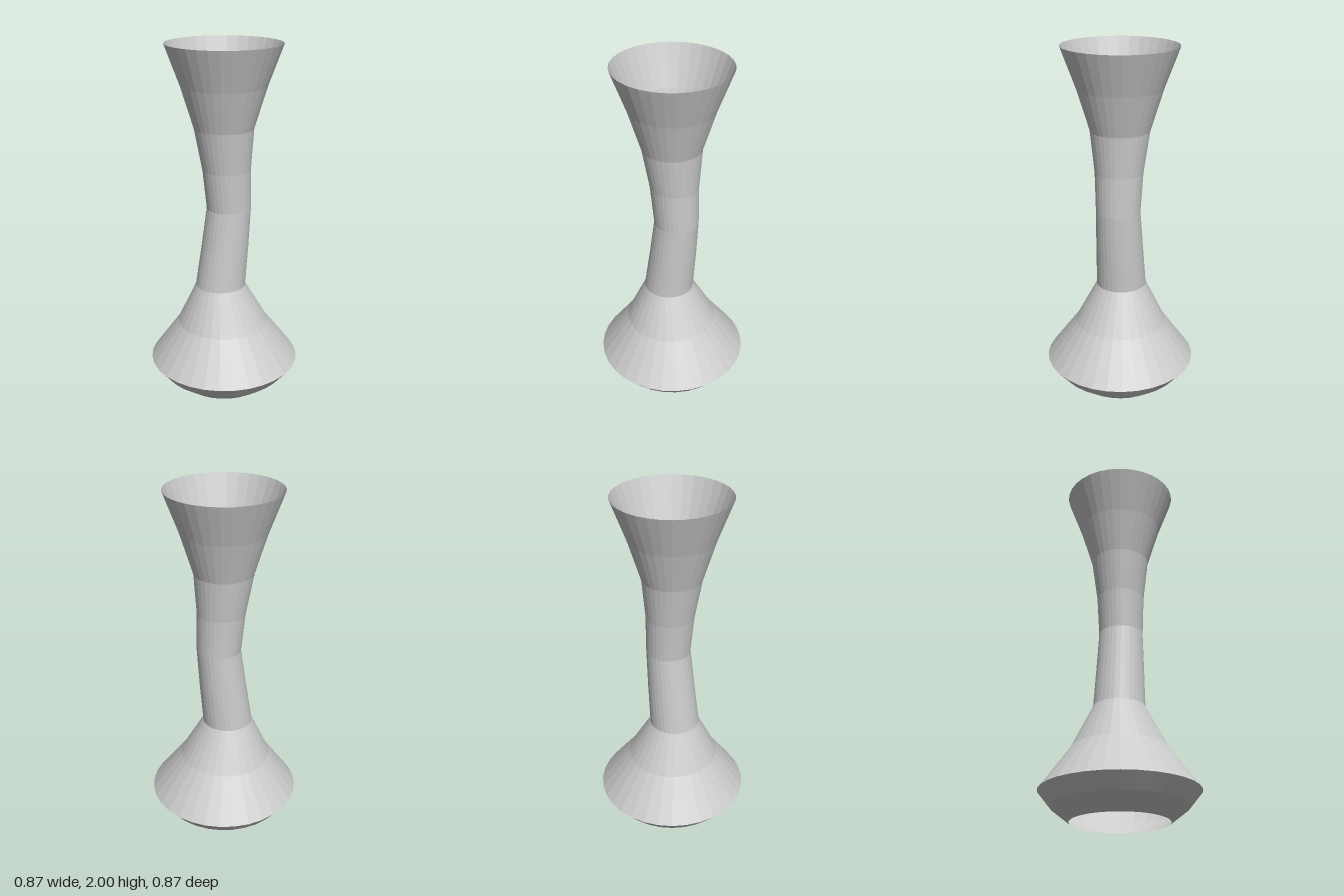
import * as THREE from 'three';

// Cross-sections from bottom to top: height, radius, sideways shift
const RINGS = [
  [0, 0.265, 0], [0.08, 0.368, 0], [0.16, 0.433, 0],
  [0.39, 0.264, -0.006], [0.622, 0.143, -0.021], [0.855, 0.134, 0.006],
  [1.085, 0.125, 0.029], [1.31, 0.135, 0.015], [1.545, 0.165, 0],
  [1.775, 0.235, 0], [2, 0.318, 0],
];
const SIDES = 32;

export function createModel() {
  const group = new THREE.Group();
  group.name = 'vase';

  // Open-ended thin wall, turned from the profile
  const profile = RINGS.map(([y, r]) => new THREE.Vector2(r, y));
  const geometry = new THREE.LatheGeometry(profile, SIDES);

  // Shift each ring sideways so that the neck bends
  const pos = geometry.attributes.position;
  for (let i = 0; i < pos.count; i++) {
    pos.setX(i, pos.getX(i) + RINGS[i % RINGS.length][2]);
  }
  geometry.computeVertexNormals();

  const wall = new THREE.Mesh(geometry, new THREE.MeshStandardMaterial({
    color: 0xcccccc, flatShading: true, side: THREE.DoubleSide,
  }));
  wall.name = 'vaseWall';
  group.add(wall);
  return group;
}
